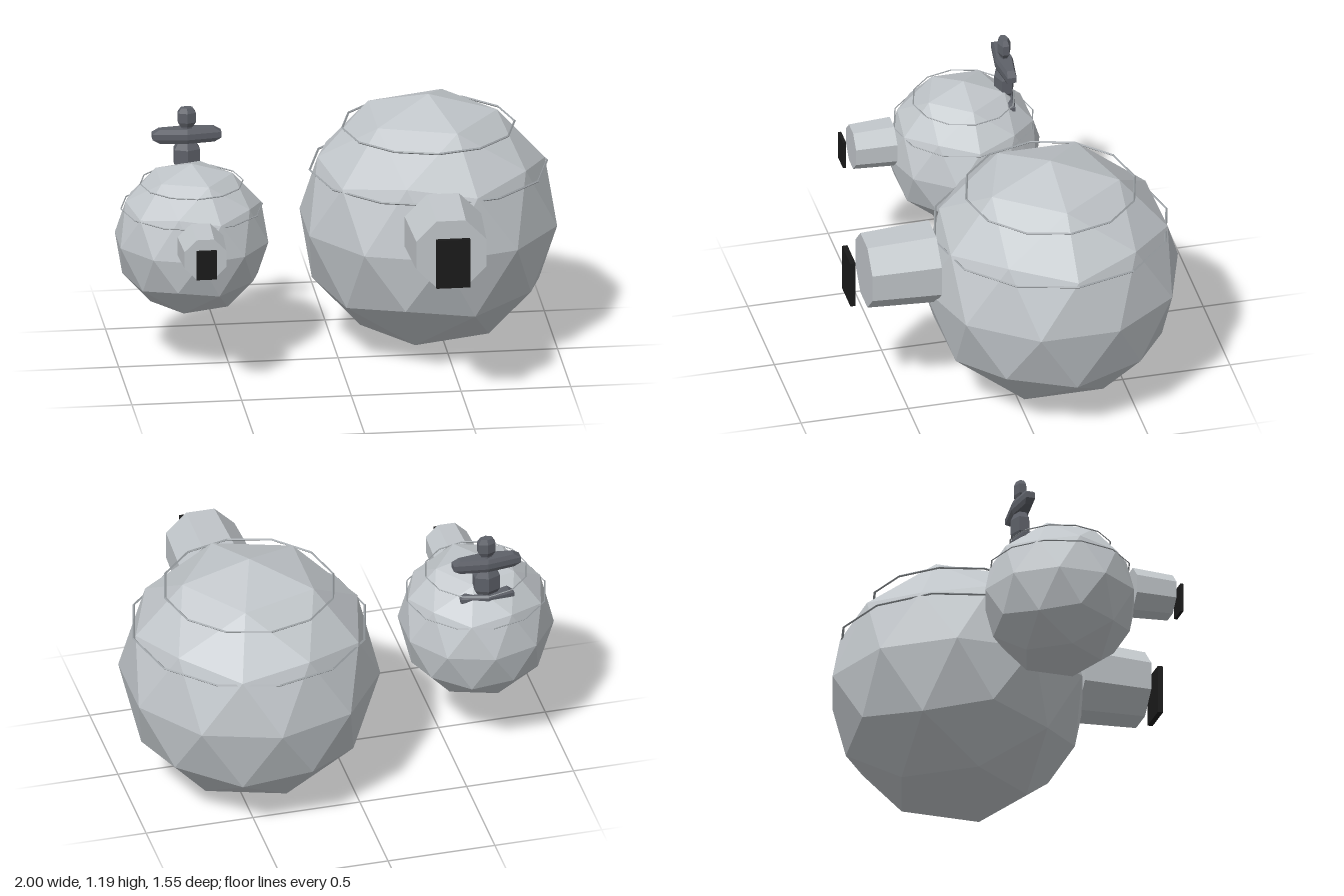
import * as THREE from 'three';

const mat = (name, color) => {
  const m = new THREE.MeshStandardMaterial({ color, flatShading: true });
  m.name = name;
  return m;
};

export function createModel() {
  const model = new THREE.Group();
  model.name = 'sphericalTanks';
  const steel = mat('pale steel', 0xc1c6ca);
  const wire = mat('grey wire', 0x9ca1a5);
  const iron = mat('dark iron', 0x5e6169);
  const black = mat('black', 0x1a1a1a);

  const add = (parent, name, geometry, material, x = 0, y = 0, z = 0) => {
    const mesh = new THREE.Mesh(geometry, material);
    mesh.name = name;
    mesh.position.set(x, y, z);
    parent.add(mesh);
    return mesh;
  };

  // Faceted tank with two wire hoops, an octagonal port and a floating hatch plate
  function tank(name, x, z, scale, portZ) {
    const g = new THREE.Group();
    g.name = name;
    g.position.set(x, 0.594, z);
    g.scale.setScalar(scale);

    // Turn the icosphere so one five-sided corner points straight up
    const shell = new THREE.IcosahedronGeometry(0.594, 1);
    shell.rotateZ(-Math.atan(2 / (1 + Math.sqrt(5))));
    add(g, 'shell', shell, steel);

    for (const [hoop, radius, y] of [['lowerHoop', 0.541, 0.251], ['upperHoop', 0.393, 0.447]]) {
      const ring = new THREE.TorusGeometry(radius, 0.0055, 4, 12);
      ring.rotateX(Math.PI / 2);
      add(g, hoop, ring, wire, 0, y, 0);
    }

    const port = new THREE.CylinderGeometry(0.173, 0.189, 0.32, 8);
    port.rotateY(Math.PI / 8);
    port.rotateX(Math.PI / 2);
    add(g, 'port', port, steel, 0, 0.139, portZ);
    add(g, 'hatchPlate', new THREE.BoxGeometry(0.155, 0.23, 0.024), black, 0, 0.12, portZ + 0.23);
    model.add(g);
  }
  tank('largeTank', 0.433, -0.18, 1, 0.71);
  tank('smallTank', -0.662, -0.047, 0.596, 0.72);

  // Valve on the small tank: six-sided lathed pieces flattened front to back
  const valve = new THREE.Group();
  valve.name = 'valve';
  valve.position.set(-0.662, 0, -0.235);
  model.add(valve);
  const piece = (name, y, halfX, halfY, halfZ, capRadius, shoulder) => {
    const profile = [[0, -1], [capRadius, -1], [1, -shoulder], [1, shoulder], [capRadius, 1], [0, 1]]
      .map(([r, h]) => new THREE.Vector2(r, h * halfY));
    const geometry = new THREE.LatheGeometry(profile, 6);
    geometry.scale(halfX / 0.866, 1, halfZ);
    add(valve, name, geometry, iron, 0, y, 0);
  };
  piece('mountingFoot', 0.84, 0.125, 0.024, 0.045, 0.8, 0.4);
  piece('valveBody', 0.92, 0.058, 0.07, 0.045, 0.65, 0.5);
  piece('crossHandle', 1.02, 0.157, 0.033, 0.042, 0.8, 0.4);
  piece('handleNeck', 1.055, 0.024, 0.02, 0.02, 1, 0.5);
  piece('handleKnob', 1.105, 0.04, 0.046, 0.03, 0.65, 0.5);

  return model;
}
